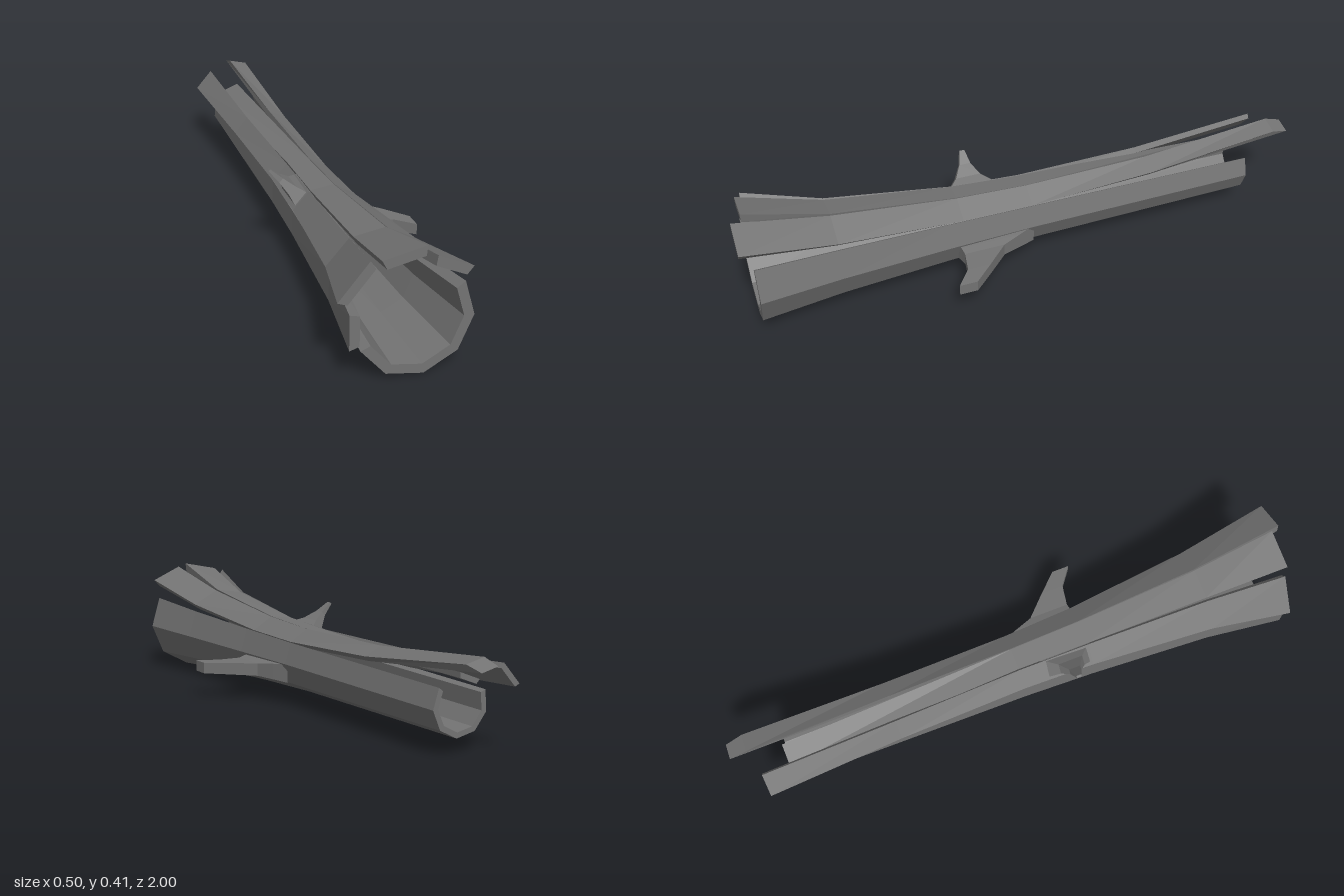
import * as THREE from 'three';

const material = new THREE.MeshStandardMaterial({ color: 0x737373, flatShading: true });

// Closed solid through matching loops (counter-clockwise seen from the first loop's end)
function loft(name, loops) {
  const pos = [];
  const quad = (a, b, c, d) => pos.push(...a, ...b, ...c, ...a, ...c, ...d);
  const n = loops[0].length;
  for (let k = 0; k < loops.length - 1; k++) {
    for (let j = 0; j < n; j++) {
      const m = (j + 1) % n;
      quad(loops[k][j], loops[k + 1][j], loops[k + 1][m], loops[k][m]);
    }
  }
  const s = loops[0], e = loops[loops.length - 1];
  for (let i = 0; i < n / 2 - 1; i++) {
    quad(s[i], s[i + 1], s[n - 2 - i], s[n - 1 - i]);
    quad(e[n - 1 - i], e[n - 2 - i], e[i + 1], e[i]);
  }
  const g = new THREE.BufferGeometry();
  g.setAttribute('position', new THREE.Float32BufferAttribute(pos, 3));
  g.computeVertexNormals();
  const mesh = new THREE.Mesh(g, material);
  mesh.name = name;
  return mesh;
}

// Trunk centre line: z, centre x, centre y, wall thickness
const axis = [
  [0.96, -0.022, 0.18, 0.032], [0.68, -0.034, 0.169, 0.03], [0.3, -0.04, 0.16, 0.027],
  [0, -0.041, 0.157, 0.025], [-0.83, -0.045, 0.149, 0.018], [-1, -0.045, 0.149, 0.018],
];
function trunkAt(z) {
  let i = 0;
  while (i < axis.length - 2 && z < axis[i + 1][0]) i++;
  const [a, b] = [axis[i], axis[i + 1]];
  const t = THREE.MathUtils.clamp((a[0] - z) / (a[0] - b[0]), 0, 1);
  return [1, 2, 3].map((k) => THREE.MathUtils.lerp(a[k], b[k], t));
}

// Bark wall: stations are [z, radius, start angle, end angle, inner edge z shift]
function bark(name, sides, stations) {
  return loft(name, stations.map(([z, r, a0, a1, shift = 0]) => {
    const [cx, cy, wall] = trunkAt(z);
    const outer = [], inner = [];
    for (let i = 0; i <= sides; i++) {
      const a = THREE.MathUtils.degToRad(a0 + (a1 - a0) * i / sides);
      outer.push([cx + r * Math.cos(a), cy + r * Math.sin(a), z]);
      inner.unshift([cx + (r - wall) * Math.cos(a), cy + (r - wall) * Math.sin(a), z + shift]);
    }
    return [...outer, ...inner];
  }));
}

// Broken twig along local x: sections are [x, zLow, zHigh, yLow, yHigh], tip first
function spur(name, sections) {
  return loft(name, sections.map(([x, z0, z1, y0, y1]) =>
    [[x, y0, z1], [x, y0, z0], [x, y1, z0], [x, y1, z1]]));
}

export function createModel() {
  const log = new THREE.Group();
  log.name = 'hollowLog';

  // Lower trough of the trunk
  log.add(bark('trunkShell', 5, [
    [0.955, 0.177, 201, 395.6], [0.68, 0.15, 199, 396], [0.3, 0.125, 197, 397],
    [0, 0.112, 197, 397], [-0.83, 0.098, 197, 397],
  ]));

  // Split planks that peel away at the ends
  log.add(bark('rightPlank', 1, [
    [0.995, 0.226, 49.6, 80.4], [0.68, 0.168, 43, 79], [0.25, 0.125, 38, 77],
    [0, 0.114, 38, 77], [-0.45, 0.121, 48, 80], [-0.94, 0.159, 64, 88, -0.06],
  ]));
  log.add(bark('topPlank', 1, [
    [0.96, 0.239, 84.7, 117.3], [0.68, 0.17, 81, 116], [0.25, 0.125, 78, 116],
    [0, 0.113, 78, 116], [-0.83, 0.098, 88, 134],
  ]));
  log.add(bark('upperLeftPlank', 1, [
    [0.94, 0.247, 123, 157.6], [0.68, 0.174, 120, 157], [0.25, 0.125, 118, 156],
    [0, 0.115, 118, 156], [-0.45, 0.122, 122, 157], [-0.92, 0.155, 122, 155],
  ]));
  log.add(bark('leftPlank', 1, [
    [0.95, 0.205, 164.2, 196.9], [0.68, 0.157, 160, 197], [0.25, 0.123, 158, 197],
    [0, 0.113, 157, 197], [-0.83, 0.098, 157, 197],
  ]));

  // Side branch stub
  log.add(spur('branchStub', [
    [0.25, 0.268, 0.33, 0.093, 0.131], [0.185, 0.2, 0.28, 0.094, 0.135],
    [0.11, 0.125, 0.266, 0.094, 0.138], [0.085, 0.06, 0.27, 0.09, 0.145],
    [0.06, 0, 0.275, 0.085, 0.15],
  ]));

  // Small thorn-like twig on the upper left plank
  const twig = spur('twigStub', [
    [0.24, 0.158, 0.176, -0.004, 0.004], [0.19, 0.15, 0.19, -0.009, 0.009],
    [0.145, 0.128, 0.215, -0.018, 0.018], [0.1, 0.08, 0.26, -0.036, 0.036],
  ]);
  twig.position.set(-0.04, 0.158, 0);
  twig.rotation.z = THREE.MathUtils.degToRad(135);
  log.add(twig);

  return log;
}
